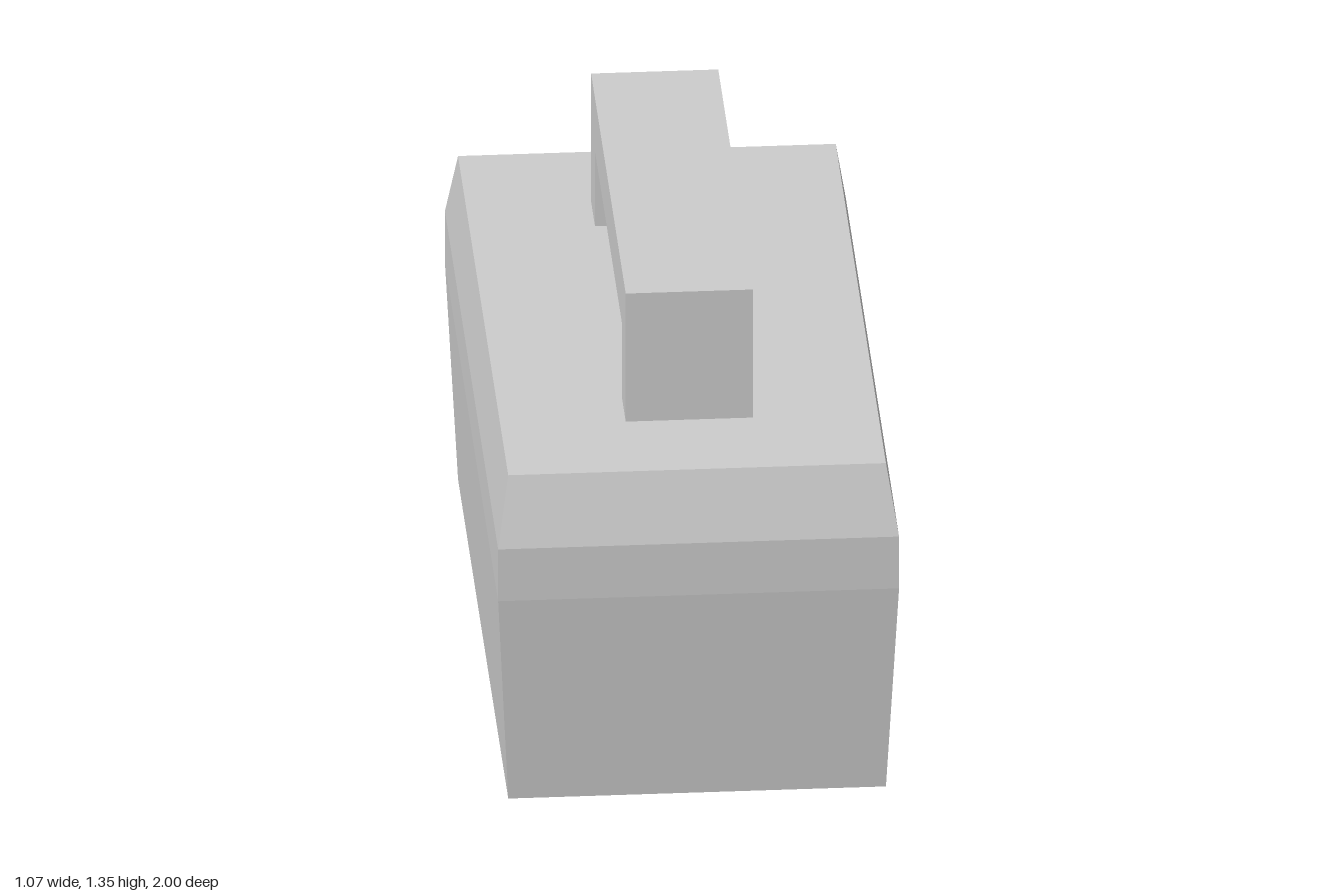
import * as THREE from 'three';

const material = new THREE.MeshStandardMaterial({ color: 0xcccccc, flatShading: true });

// Box whose height rings are moved to the given [y, halfWidth, halfDepth] levels
function ringedBox(rings) {
  const steps = rings.length - 1;
  const geometry = new THREE.BoxGeometry(2, 1, 2, 1, steps, 1);
  const p = geometry.attributes.position;
  for (let i = 0; i < p.count; i++) {
    const [y, w, d] = rings[Math.round((p.getY(i) + 0.5) * steps)];
    p.setXYZ(i, p.getX(i) * w, y, p.getZ(i) * d);
  }
  const flat = geometry.toNonIndexed();
  flat.computeVertexNormals();
  return flat;
}

export function createModel() {
  const group = new THREE.Group();
  group.name = 'toolbox';

  // Case: tapered sides, short upright band, bevelled lid
  const body = new THREE.Mesh(ringedBox([
    [0, 0.505, 0.943],
    [0.62, 0.536, 1],
    [0.775, 0.536, 1],
    [0.967, 0.505, 0.943],
  ]), material);
  body.name = 'case';
  group.add(body);

  // Carrying handle: an arch profile extruded across the width
  const width = 0.34, base = 0.967, top = 1.35, under = 1.19, outer = 0.65, inner = 0.505;
  const arch = new THREE.Shape([
    [-outer, base], [-inner, base], [-inner, under], [inner, under],
    [inner, base], [outer, base], [outer, top], [-outer, top],
  ].map(([x, y]) => new THREE.Vector2(x, y)));
  const handleGeometry = new THREE.ExtrudeGeometry(arch, { depth: width, bevelEnabled: false });
  handleGeometry.translate(0, 0, -width / 2).rotateY(Math.PI / 2);
  const handle = new THREE.Mesh(handleGeometry, material);
  handle.name = 'handle';
  group.add(handle);

  return group;
}
